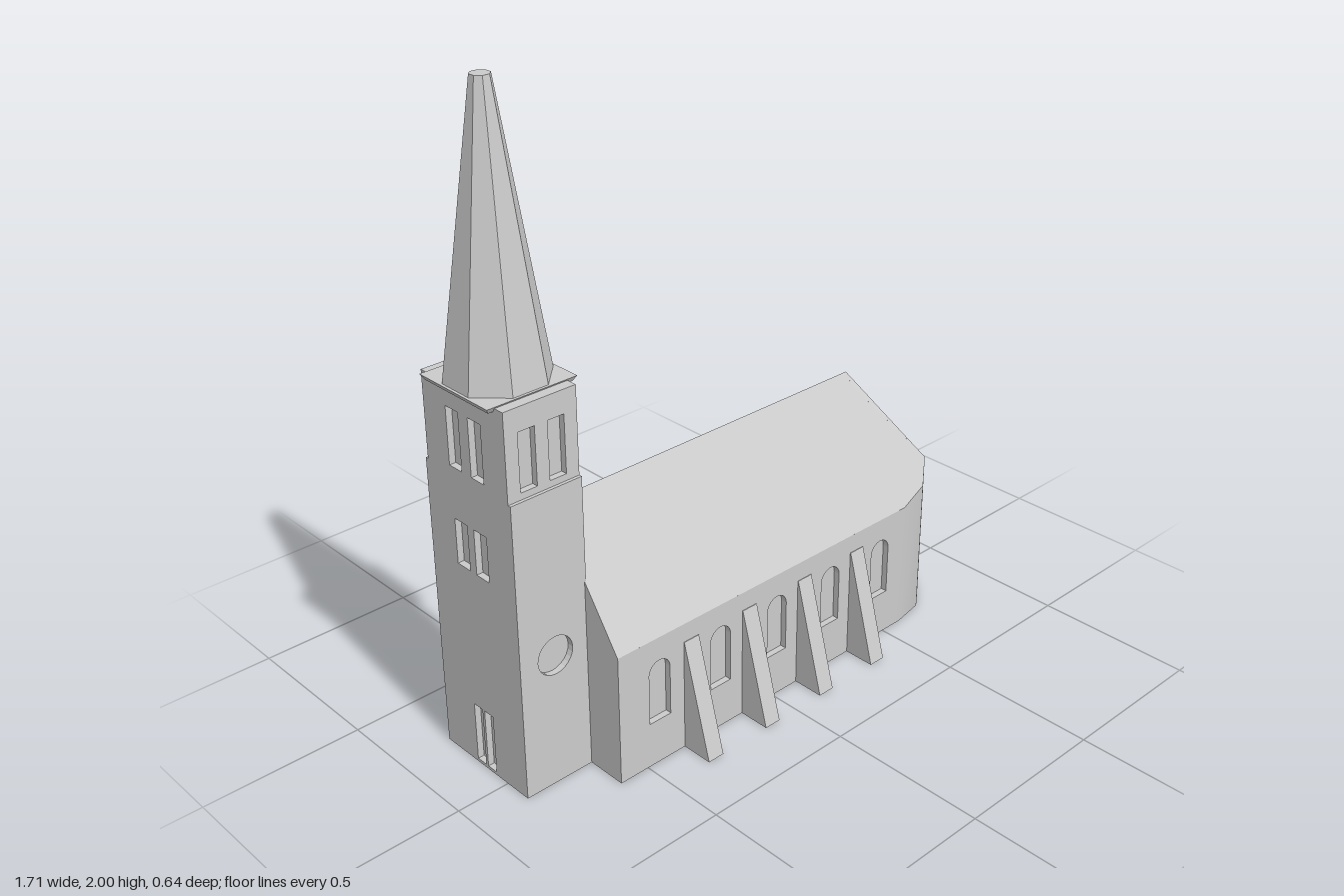
import * as THREE from 'three';
import { toCreasedNormals } from 'three/addons/utils/BufferGeometryUtils.js';

const stone = new THREE.MeshStandardMaterial({ color: 0xcccccc, side: THREE.DoubleSide });
stone.name = 'stone';

const DEPTH = 0.02; // window recess
const RIDGE_Z = -0.045;
const sideY = (z) => 0.8 - 1.434 * Math.abs(z - RIDGE_Z);
const hipY = (x) => 0.76 - 1.48 * (x - 0.58);

export function createModel() {
  const model = new THREE.Group();
  model.name = 'church';

  function add(name, geometry, x = 0, y = 0, z = 0, ry = 0) {
    const mesh = new THREE.Mesh(geometry, stone);
    mesh.name = name;
    mesh.position.set(x, y, z);
    mesh.rotation.y = ry;
    model.add(mesh);
    return mesh;
  }

  function box(name, x0, x1, y0, y1, z0, z1) {
    return add(name, new THREE.BoxGeometry(x1 - x0, y1 - y0, z1 - z0),
      (x0 + x1) / 2, (y0 + y1) / 2, (z0 + z1) / 2);
  }

  function triangles(points, crease = 0) {
    const g = new THREE.BufferGeometry();
    g.setAttribute('position', new THREE.Float32BufferAttribute(points.flat(), 3));
    g.computeVertexNormals();
    return crease ? toCreasedNormals(g, crease) : g;
  }

  const fan = (centre, rim) => rim.slice(1).flatMap((p, i) => [centre, rim[i], p]);

  // Openings cut through a wall panel
  function rectHole(cx, y0, y1, w) {
    const p = new THREE.Path();
    p.moveTo(cx - w / 2, y0).lineTo(cx + w / 2, y0).lineTo(cx + w / 2, y1).lineTo(cx - w / 2, y1).closePath();
    return p;
  }
  function archHole(cx, y0, y1, w) {
    const p = new THREE.Path();
    p.moveTo(cx - w / 2, y0).lineTo(cx + w / 2, y0).lineTo(cx + w / 2, y1 - w / 2);
    p.absarc(cx, y1 - w / 2, w / 2, 0, Math.PI, false);
    p.closePath();
    return p;
  }
  function roundHole(cx, cy, r) {
    const p = new THREE.Path();
    p.absarc(cx, cy, r, 0, Math.PI * 2, false);
    return p;
  }
  function panel(x0, x1, y0, y1, holes) {
    const s = new THREE.Shape();
    s.moveTo(x0, y0).lineTo(x1, y0).lineTo(x1, y1).lineTo(x0, y1).closePath();
    s.holes = holes;
    return new THREE.ExtrudeGeometry(s, { depth: DEPTH, bevelEnabled: false, curveSegments: 12 });
  }

  // Apse outline, from the front wall round to the back wall
  const apse = [
    [0.54, 0.22], [0.58, 0.22], [0.69, 0.2], [0.747, 0.155], [0.82, 0.07], [0.845, 0],
    [0.853, -0.05], [0.848, -0.1], [0.82, -0.18], [0.76, -0.26], [0.62, -0.323], [0.54, -0.31],
  ];
  const frontCorner = 3, backCorner = 9;
  const top = ([x, z]) => [x, Math.min(sideY(z), x > 0.58 ? hipY(x) : 1), z];
  const base = ([x, z]) => [x, 0, z];

  // Core walls behind the window panels, closed round the apse
  const outline = [[-0.59, RIDGE_Z], [-0.59, 0.2], [0.53, 0.2], ...apse, [0.53, -0.29], [-0.59, -0.29], [-0.59, RIDGE_Z]];
  const walls = [];
  for (let i = 0; i < outline.length - 1; i++) {
    const a = outline[i], b = outline[i + 1];
    walls.push(base(a), base(b), top(b), base(a), top(b), top(a));
  }
  add('naveAndApseWalls', triangles(walls, 0.7));

  // Floor
  const floorRim = [[-0.6, 0.22], ...apse, [-0.6, -0.31], [-0.6, 0.22]].map(base).reverse();
  add('floor', triangles(fan([0, 0, RIDGE_Z], floorRim)));

  // Roof: two long slopes, a hipped end and the small gable above it
  const ridgeWest = [-0.6, 0.8, RIDGE_Z], ridgeEast = [0.58, 0.8, RIDGE_Z];
  const hipFront = [0.58, 0.76, RIDGE_Z + 0.028], hipBack = [0.58, 0.76, RIDGE_Z - 0.028];
  const eaves = apse.map(top);
  add('roofFront', triangles(fan(ridgeEast,
    [ridgeWest, top([-0.6, 0.22]), ...eaves.slice(0, frontCorner + 1), hipFront])));
  add('roofBack', triangles(fan(ridgeEast,
    [hipBack, ...eaves.slice(backCorner), top([-0.6, -0.31]), ridgeWest])));
  add('roofHip', triangles(fan([0.58, 0.76, RIDGE_Z],
    [hipFront, ...eaves.slice(frontCorner, backCorner + 1), hipBack])));
  add('roofGablet', triangles([hipFront, hipBack, ridgeEast]));

  // West gable wall
  const gable = new THREE.Shape();
  gable.moveTo(-0.31, 0).lineTo(0.22, 0).lineTo(0.22, 0.42).lineTo(RIDGE_Z, 0.8).lineTo(-0.31, 0.42).closePath();
  add('westGable', new THREE.ExtrudeGeometry(gable, { depth: DEPTH, bevelEnabled: false }),
    -0.58, 0, 0, -Math.PI / 2);

  // Long walls with five arched windows each
  const naveWindows = () => [-0.45, -0.215, 0.015, 0.245, 0.47].map((x) => archHole(x, 0.145, 0.345, 0.078));
  add('frontWall', panel(-0.58, 0.54, 0, 0.42, naveWindows()), 0, 0, 0.2);
  add('backWall', panel(-0.58, 0.54, 0, 0.42, naveWindows()), 0, 0, -0.31);

  // Sloping buttresses
  const wedge = new THREE.Shape();
  wedge.moveTo(0.21, 0).lineTo(0.322, 0).lineTo(0.222, 0.36).lineTo(0.21, 0.36).closePath();
  const buttress = new THREE.ExtrudeGeometry(wedge, { depth: 0.056, bevelEnabled: false });
  for (const x of [-0.33, -0.1, 0.13, 0.36]) add('buttress', buttress, x + 0.028, 0, 0, -Math.PI / 2);

  // Tower: two stages, each a core with pierced panels on three sides
  const W = -0.83, E = -0.595, CX = -0.7125, CZ = -0.095;
  const pair = (c, gap, y0, y1, w) => [rectHole(c - gap, y0, y1, w), rectHole(c + gap, y0, y1, w)];
  function stage(name, y0, y1, half, front, back, west) {
    const zf = CZ + half, zb = CZ - half;
    box(name + 'Core', W + DEPTH, E, y0, y1, zb + DEPTH, zf - DEPTH);
    add(name + 'Front', panel(W, E, y0, y1, front), 0, 0, zf - DEPTH);
    add(name + 'Back', panel(W, E, y0, y1, back), 0, 0, zb);
    add(name + 'West', panel(zb + DEPTH, zf - DEPTH, y0, y1, west), W + DEPTH, 0, 0, -Math.PI / 2);
  }
  stage('towerLower', 0, 0.93, 0.185, [roundHole(-0.71, 0.42, 0.06)], [],
    [...pair(CZ, 0.042, 0.65, 0.79, 0.055), ...pair(CZ, 0.024, 0.01, 0.2, 0.038)]);
  const belfry = () => pair(CX, 0.048, 0.95, 1.125, 0.054);
  stage('belfry', 0.93, 1.195, 0.175, belfry(), belfry(), pair(CZ, 0.048, 0.95, 1.125, 0.054));

  // Cornice and eight-sided spire
  add('cornice', new THREE.CylinderGeometry(0.205, 0.192, 0.016, 4).toNonIndexed(), -0.71, 1.192, CZ, Math.PI / 4)
    .geometry.computeVertexNormals();
  const spire = new THREE.CylinderGeometry(0.028, 0.148, 0.8, 8).toNonIndexed();
  spire.computeVertexNormals();
  add('spire', spire, -0.71, 1.6, CZ, Math.PI / 8);

  return model;
}
